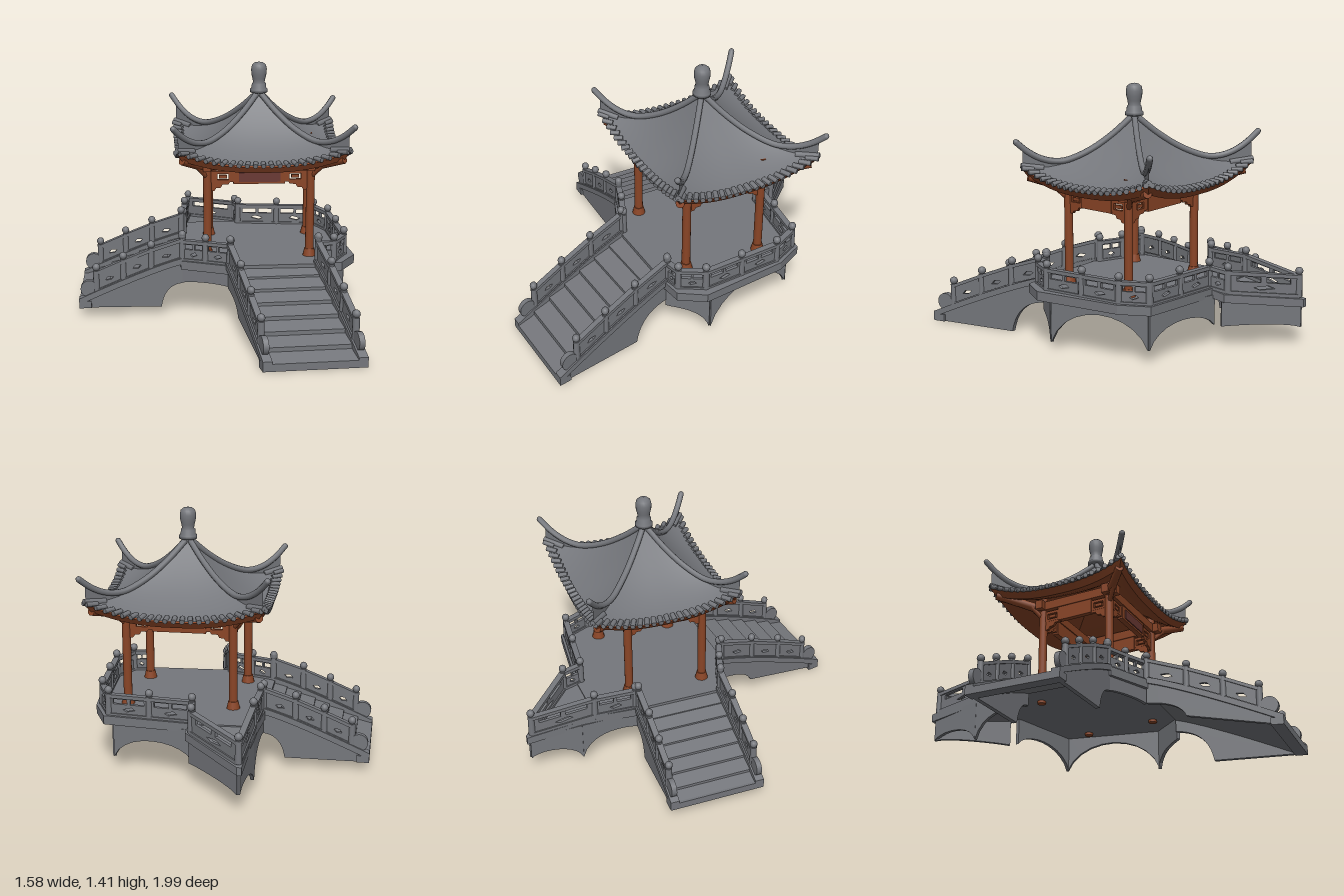
import * as THREE from 'three';

const stone = new THREE.MeshStandardMaterial({ color: 0x75777c, side: THREE.DoubleSide });
stone.name = 'grey stone';
const wood = new THREE.MeshStandardMaterial({ color: 0x8a4526, side: THREE.DoubleSide });
wood.name = 'rust wood';
const plaqueRed = new THREE.MeshStandardMaterial({ color: 0x6a3833 });
plaqueRed.name = 'dark red';

const V = (x, y, z) => new THREE.Vector3(x, y, z);
const shapeOf = pts => new THREE.Shape(pts.map(p => new THREE.Vector2(p[0], p[1])));

function add(g, geo, mat, name, x = 0, y = 0, z = 0) {
  const m = new THREE.Mesh(geo, mat);
  m.name = name;
  m.position.set(x, y, z);
  g.add(m);
  return m;
}

// Upright plate: shape x runs from p0 towards p1, shape y is height
function plate(g, mat, name, p0, p1, shape, depth) {
  const geo = new THREE.ExtrudeGeometry(shape, { depth, bevelEnabled: false, curveSegments: 10 });
  geo.translate(0, 0, -depth / 2);
  const m = add(g, geo, mat, name, p0.x, 0, p0.z);
  m.rotation.y = Math.atan2(p0.z - p1.z, p1.x - p0.x);
}

function rod(g, mat, name, a, b, r0, r1 = r0, sides = 8) {
  const m = add(g, new THREE.CylinderGeometry(r1, r0, a.distanceTo(b), sides), mat, name);
  m.position.copy(a).lerp(b, 0.5);
  m.quaternion.setFromUnitVectors(V(0, 1, 0), b.clone().sub(a).normalize());
}

// Railing post with a ball on top
function post(g, p) {
  add(g, new THREE.CylinderGeometry(0.018, 0.02, 0.125, 10), stone, 'railingPost', p.x, p.y + 0.06, p.z);
  add(g, new THREE.SphereGeometry(0.022, 12, 8), stone, 'postBall', p.x, p.y + 0.142, p.z);
}

// Railing panel between two floor points; it shears along slopes
function fence(g, a, b, open) {
  const L = Math.hypot(b.x - a.x, b.z - a.z);
  const Y = (t, h) => [t * L, a.y + (b.y - a.y) * t + h];
  const quad = (t0, t1, h0, h1) => [Y(t0, h0), Y(t1, h0), Y(t1, h1), Y(t0, h1)];
  const panel = shapeOf(quad(0, 1, 0, 0.105));
  const hole = pts => panel.holes.push(shapeOf(pts));
  if (open) {
    hole(quad(0.12, 0.46, 0.066, 0.094));
    hole(quad(0.54, 0.88, 0.066, 0.094));
  }
  const c = open ? 0.036 : 0.045;
  hole([Y(0.36, c), Y(0.45, c - 0.012), Y(0.66, c), Y(0.57, c + 0.014), Y(0.47, c + 0.009)]);
  plate(g, stone, 'railingPanel', a, b, panel, 0.018);
  plate(g, stone, 'handrail', a, b, shapeOf(quad(0, 1, 0.1, 0.12)), 0.034);
  plate(g, stone, 'railingFoot', a, b, shapeOf(quad(0, 1, -0.01, 0.012)), 0.034);
}

function railing(g, pts, open) {
  pts.forEach((p, i) => {
    post(g, p);
    if (i) fence(g, pts[i - 1], p, open);
  });
}

// Wall below the deck with an arched lower edge
function archWall(g, [x0, z0, b0], [x1, z1, b1], top0, top1, peak) {
  const L = Math.hypot(x1 - x0, z1 - z0);
  const s = shapeOf([[0, b0], [0, top0], [L, top1], [L, b1]]);
  s.bezierCurveTo(L * 0.85, peak * 1.25 - b1 * 0.25, L * 0.15, peak * 1.25 - b0 * 0.25, 0, b0);
  plate(g, stone, 'archWall', V(x0, 0, z0), V(x1, 0, z1), s, 0.02);
}

// Staircase running along local +z from the deck; axes may be skewed.
// rise lifts the arch foot of the wall on the local -x side
function staircase(name, origin, xAxis, zAxis, L, base, arch, rise) {
  const g = new THREE.Group();
  g.name = name;
  const top = 0.33, foot = base + 0.035, n = 7;
  const h = q => top - (top - foot) * Math.pow(q, 1.15);
  const qs = [...Array(13)].map((_, i) => i / 12);
  // shallow worn steps with a sloping underside
  const outline = [];
  for (let i = 0; i < n; i++) {
    const y = h((i + 0.4) / n);
    outline.push([i / n * L, y], [(i + 1) / n * L, y - 0.022]);
  }
  for (const q of [...qs].reverse()) outline.push([q * L, Math.max(h(q) - 0.06, base)]);
  plate(g, stone, 'steps', V(0, 0, 0), V(0, 0, L), shapeOf(outline), 0.5);
  add(g, new THREE.BoxGeometry(0.55, 0.04, 0.07), stone, 'footSlab', 0, base + 0.02, L - 0.035);
  for (const side of [-1, 1]) {
    const x = side * 0.25, a = V(x, 0, 0), b = V(x, 0, L);
    const wall = shapeOf([...qs.map(q => [q * L, h(q)]), [L, base], [arch, base + (side < 0 ? rise : 0)]]);
    wall.quadraticCurveTo(arch * 0.85, 0.19, 0, 0.2);
    plate(g, stone, 'stairWall', a, b, wall, 0.025);
    const cope = [...qs.map(q => [q * L, h(q) + 0.02]), ...[...qs].reverse().map(q => [q * L, h(q) - 0.015])];
    plate(g, stone, 'coping', a, b, shapeOf(cope), 0.05);
    railing(g, [0, 0.3, 0.57, 0.83].map(q => V(x, h(q) + 0.015, q * L)), false);
    // rounded scroll at the railing end
    const scroll = add(g, new THREE.CylinderGeometry(0.05, 0.05, 0.03, 16), stone, 'scroll', x, h(0.9) + 0.05, L * 0.9);
    scroll.rotation.z = Math.PI / 2;
  }
  const M = new THREE.Matrix4().makeBasis(xAxis, V(0, 1, 0), zAxis).setPosition(origin);
  for (const m of g.children) {
    m.updateMatrix();
    m.geometry.applyMatrix4(M.clone().multiply(m.matrix));
    m.position.set(0, 0, 0);
    m.quaternion.identity();
  }
  return g;
}

// Roof surface: s across one side (-1..1), t from apex to eave, k = side
const CX = 0.25, CZ = -0.14;
function roofPoint(k, s, t, dy = 0) {
  const e = Math.abs(s), w = t * (1 + 0.02 * e ** 8 * t * t), a = k * Math.PI / 2;
  const x = s * w * Math.cos(a) + w * Math.sin(a), z = -s * w * Math.sin(a) + w * Math.cos(a);
  const y = 1.24 - 0.6 * t + 0.262 * t * t + 0.085 * t ** 2.5 * e ** 2.5;
  return V(CX + x * 0.475, y + dy, CZ + z * 0.425 - 0.033 * t);
}

function sheet(fn, nu, nv) {
  const pos = [], idx = [];
  for (let j = 0; j <= nv; j++) for (let i = 0; i <= nu; i++) {
    pos.push(...fn(-1 + 2 * i / nu, j / nv).toArray());
    if (i < nu && j < nv) {
      const a = j * (nu + 1) + i, c = a + nu + 1;
      idx.push(a, c, a + 1, a + 1, c, c + 1);
    }
  }
  const geo = new THREE.BufferGeometry();
  geo.setAttribute('position', new THREE.Float32BufferAttribute(pos, 3));
  geo.setIndex(idx);
  geo.computeVertexNormals();
  return geo;
}

function buildRoof() {
  const g = new THREE.Group();
  g.name = 'roof';
  for (let k = 0; k < 4; k++) {
    add(g, sheet((s, t) => roofPoint(k, s, t), 24, 12), stone, 'roofSide');
    add(g, sheet((s, t) => roofPoint(k, -s, t * 0.93, -0.052), 24, 8), wood, 'soffit');
    add(g, sheet((s, t) => roofPoint(k, s, 0.985 - 0.055 * t, -0.01 - 0.042 * t), 24, 1), wood, 'eaveBoard');
    // tile rolls along the eave
    for (let i = 0; i < 21; i++) {
      const s = -0.95 + i * 0.095;
      rod(g, stone, 'eaveTile', roofPoint(k, s, 0.91, 0), roofPoint(k, s, 1.015, 0), 0.014);
    }
    // hip ridge sweeping up into the corner tip, with a web below it
    const lift = k === 2 ? 0.14 : 0.115;
    const up = t => 0.012 + lift * Math.max(0, (t - 0.5) / 0.525) ** 2.2;
    const ts = [0.03, 0.2, 0.4, 0.6, 0.7, 0.8, 0.88, 0.95, 1.025];
    const curve = new THREE.CatmullRomCurve3(ts.map(t => roofPoint(k, 1, t, up(t))));
    add(g, new THREE.TubeGeometry(curve, 36, 0.017, 8), stone, 'hipRidge');
    add(g, new THREE.SphereGeometry(0.017, 8, 6), stone, 'ridgeTip', ...roofPoint(k, 1, 1.025, up(1.025)).toArray());
    add(g, sheet((s, t) => {
      const r = 0.75 + 0.225 * s;
      return roofPoint(k, 1, r, up(r) * t - 0.01);
    }, 12, 1), stone, 'ridgeWeb');
    rod(g, stone, 'cornerEdge', roofPoint(k, 1, 0.8, -0.005), roofPoint(k, 1, 0.99, 0.005), 0.018, 0.016);
  }
  const prof = [[0, 1.235], [0.05, 1.245], [0.05, 1.262], [0.042, 1.27], [0.04, 1.295], [0.033, 1.302], [0.037, 1.325],
    [0.043, 1.35], [0.045, 1.378], [0.04, 1.402], [0.025, 1.415], [0, 1.42]];
  add(g, new THREE.LatheGeometry(prof.map(p => new THREE.Vector2(...p)), 20), stone, 'finial', CX, 0, CZ);
  return g;
}

function buildFrame() {
  const g = new THREE.Group();
  g.name = 'timberFrame';
  const cols = [V(-0.055, 0, 0.095), V(0.53, 0, 0.095), V(0.565, 0, -0.345), V(-0.03, 0, -0.345)];
  cols.forEach((a, k) => {
    add(g, new THREE.CylinderGeometry(0.024, 0.024, 0.69, 14), wood, 'column', a.x, 0.615, a.z);
    add(g, new THREE.CylinderGeometry(0.028, 0.038, 0.045, 14), wood, 'columnBase', a.x, 0.355, a.z);
    // bracket reaching out to the eave corner
    const out = V(Math.sign(a.x - CX), 0, Math.sign(a.z - CZ));
    rod(g, wood, 'cornerBracket', V(a.x, 0.86, a.z), V(CX + out.x * 0.45, 0.93, CZ - 0.03 + out.z * 0.4), 0.028, 0.024);
    rod(g, wood, 'cornerBrace', V(a.x, 0.8, a.z), V(a.x + out.x * 0.06, 0.88, a.z + out.z * 0.06), 0.014);
    // beams and pierced frieze to the next column
    const b = cols[(k + 1) % 4], L = a.distanceTo(b);
    const box = (x0, x1, y0, y1) => shapeOf([[x0, y0], [x1, y0], [x1, y1], [x0, y1]]);
    plate(g, wood, 'topBeam', a, b, box(-0.06, L + 0.06, 0.848, 0.9), 0.045);
    const frieze = box(0, L, 0.775, 0.838);
    for (const f of [0.15, 0.85]) frieze.holes.push(box(L * f - 0.032, L * f + 0.032, 0.788, 0.822));
    plate(g, wood, 'frieze', a, b, frieze, 0.02);
    for (const f of [0.15, 0.85]) plate(g, wood, 'friezeBar', a, b, box(L * f - 0.022, L * f + 0.022, 0.796, 0.814), 0.016);
    plate(g, wood, 'friezeBoard', a, b, box(L * 0.25, L * 0.75, 0.765, 0.85), 0.032);
    for (const e of [0, 1]) {
      const X = d => e ? L - d : d;
      plate(g, wood, 'knee', a, b, shapeOf([[X(0), 0.78], [X(0.13), 0.78], [X(0.12), 0.762], [X(0.085), 0.76],
        [X(0.075), 0.742], [X(0.05), 0.74], [X(0.04), 0.725], [X(0), 0.72]]), 0.018);
    }
  });
  add(g, new THREE.BoxGeometry(0.235, 0.054, 0.008), plaqueRed, 'plaque', 0.24, 0.804, 0.113);
  return g;
}

function buildDeck() {
  const g = new THREE.Group();
  g.name = 'deck';
  const slab = (pts, depth, y) => {
    const geo = new THREE.ExtrudeGeometry(shapeOf(pts.map(p => [p[0], -p[1]])), { depth, bevelEnabled: false });
    return geo.rotateX(-Math.PI / 2).translate(0, y, 0);
  };
  const edge = [[0.57, 0.26], [0.7, 0.24], [0.79, 0.1], [0.735, -0.4], [0.655, -0.56], [0.17, -0.61],
    [-0.19, -0.6], [-0.21, -0.37], [-0.21, 0.18], [0.05, 0.28]];
  add(g, slab(edge, 0.05, 0.285), stone, 'deckSlab');
  // short back landing that dips outwards
  const landing = slab([[-0.19, -0.59], [0.175, -0.59], [0.18, -0.69], [-0.14, -0.995], [-0.165, -0.995]], 0.045, 0.285);
  const p = landing.attributes.position;
  for (let i = 0; i < p.count; i++) p.setY(i, p.getY(i) + 0.15 * (p.getZ(i) + 0.59));
  landing.computeVertexNormals();
  add(g, landing, stone, 'backLanding');

  archWall(g, [0.57, 0.24, 0.16], [0.73, 0.05, 0.05], 0.3, 0.3, 0.15);
  archWall(g, [0.73, 0.05, 0.05], [0.61, -0.51, 0.08], 0.3, 0.3, 0.25);
  archWall(g, [0.61, -0.51, 0.08], [0.16, -0.61, 0.13], 0.3, 0.3, 0.21);
  archWall(g, [0.16, -0.66, 0.13], [-0.145, -0.975, 0.11], 0.28, 0.25, 0.135);
  archWall(g, [-0.145, -0.975, 0.11], [-0.18, -0.68, 0.06], 0.25, 0.29, 0.15);
  archWall(g, [-0.18, -0.68, 0.06], [-0.19, -0.35, 0.2], 0.29, 0.3, 0.21);
  archWall(g, [-0.2, 0.155, 0.2], [0.07, 0.255, 0.2], 0.3, 0.3, 0.215);

  const at = (x, z, y = 0.335) => V(x, y, z);
  railing(g, [at(0.565, 0.23), at(0.655, 0.21), at(0.73, 0.08), at(0.715, -0.15), at(0.7, -0.385), at(0.63, -0.53),
    at(0.4, -0.555), at(0.16, -0.58), at(0.145, -0.69, 0.32), at(-0.145, -0.96, 0.28),
    at(-0.175, -0.6), at(-0.185, -0.36)], true);
  railing(g, [at(-0.2, 0.155), at(-0.07, 0.2), at(0.07, 0.255)], true);
  return g;
}

export function createModel() {
  const model = new THREE.Group();
  model.name = 'gardenPavilion';
  model.add(
    buildDeck(), buildFrame(), buildRoof(),
    staircase('frontStaircase', V(0.315, 0, 0.25), V(0.997, 0, -0.073), V(0.204, 0, 0.979), 0.745, 0.005, 0.22, 0.1),
    staircase('sideStaircase', V(-0.2, 0, -0.095), V(0, 0, 1), V(-1, 0, 0), 0.59, 0.06, 0.12, 0));
  return model;
}
